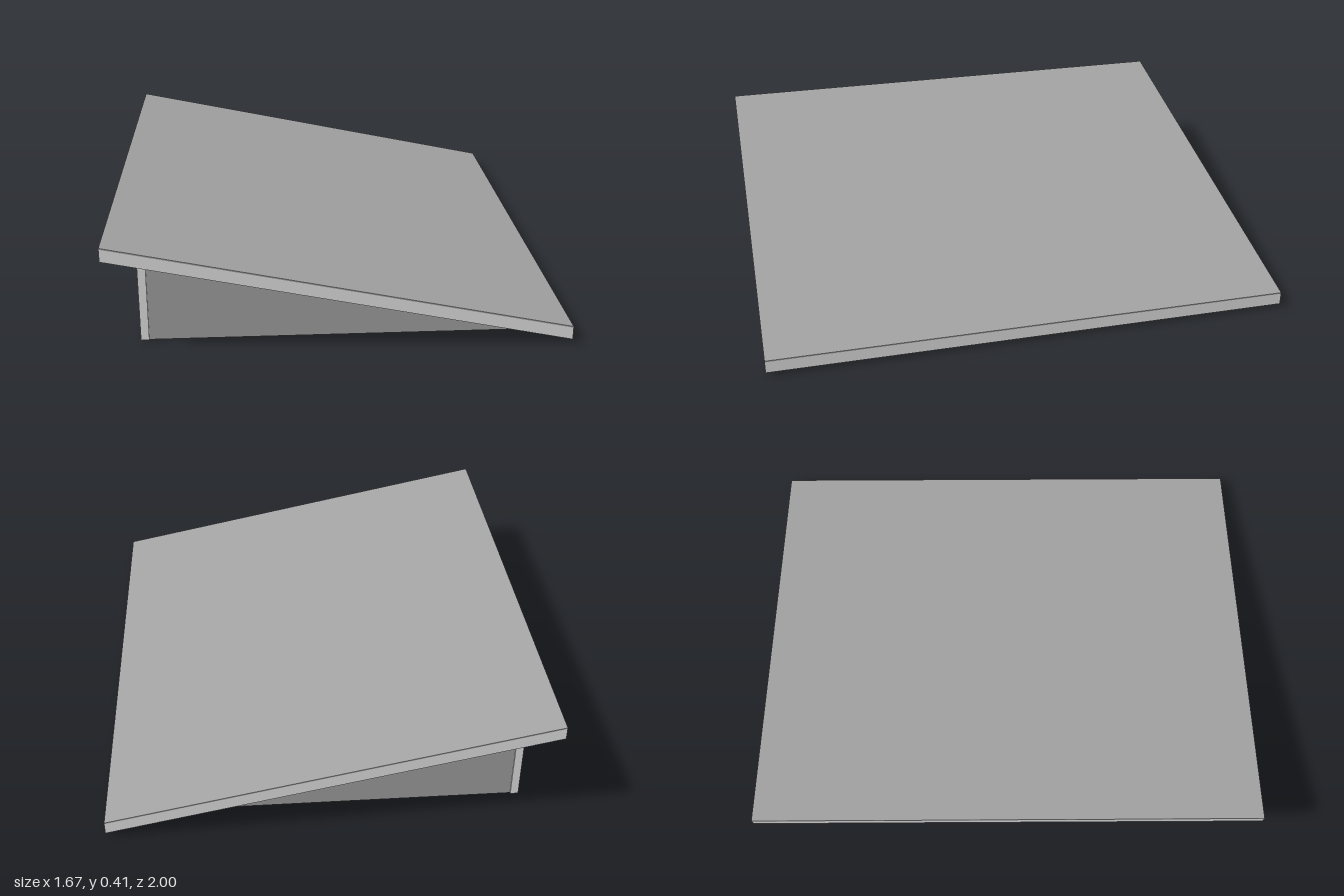
import * as THREE from 'three';

const light = new THREE.MeshStandardMaterial({ color: 0xe6e6e6 });
light.name = 'lightGreyFrame';
const grey = new THREE.MeshStandardMaterial({ color: 0xa3a3a3 });
grey.name = 'midGreyCladding';

// Height of the roof underside at x
const under = (x) => 0.186 - 0.208 * x;
const ground = () => 0;

export function createModel() {
  const model = new THREE.Group();
  model.name = 'slopedRoofBox';

  // Prism between two height rules, spanning x0..x1 and z0..z1
  function prism(name, material, [x0, x1], [z0, z1], low, high) {
    const shape = new THREE.Shape([
      new THREE.Vector2(x0, low(x0)),
      new THREE.Vector2(x1, low(x1)),
      new THREE.Vector2(x1, high(x1)),
      new THREE.Vector2(x0, high(x0)),
    ]);
    const geometry = new THREE.ExtrudeGeometry(shape, { depth: z1 - z0, bevelEnabled: false });
    geometry.translate(0, 0, z0);
    const mesh = new THREE.Mesh(geometry, material);
    mesh.name = name;
    model.add(mesh);
  }

  // Overhanging roof slab with a thin covering sheet
  const slabTop = (x) => under(x) + 0.046;
  const sheetTop = (x) => under(x) + 0.051;
  prism('roofSlab', light, [-0.833, 0.833], [-1, 1], under, slabTop);
  prism('roofSheet', grey, [-0.833, 0.833], [-1, 1], slabTop, sheetTop);

  // Hollow base, open below: lining, recessed cladding, proud corner trims
  const W = 0.72, D = 0.887; // outer half sizes
  const T = 0.03;            // trim width
  const R = 0.005;           // cladding recess
  const C = 0.008;           // cladding back
  const I = 0.017;           // inner face

  // Ceiling board inside the base
  const ceiling = (x) => under(x) - 0.025;
  prism('ceiling', light, [-W + I, W - I], [-D + I, D - I], ceiling, under);

  for (const s of [-1, 1]) {
    const end = s < 0 ? 'right' : 'left';
    const face = s < 0 ? 'back' : 'front';
    const span = (a, b, k = s) => [Math.min(k * a, k * b), Math.max(k * a, k * b)];

    prism(face + 'Lining', light, [-W + C, W - C], span(D - I, D - C), ground, under);
    prism(face + 'Cladding', grey, [-W + T, W - T], span(D - C, D - R), ground, under);
    prism(end + 'Lining', light, span(W - I, W - C), [-D + I, D - I], ground, under);
    prism(end + 'Cladding', grey, span(W - C, W - R), [-D + T, D - T], ground, under);

    // L-shaped trims at both corners of this end
    for (const k of [-1, 1]) {
      prism(end + 'CornerTrimEnd', light, span(W - C, W), span(D - T, D, k), ground, under);
      prism(end + 'CornerTrimFace', light, span(W - T, W - C), span(D - C, D, k), ground, under);
    }
  }
  return model;
}
